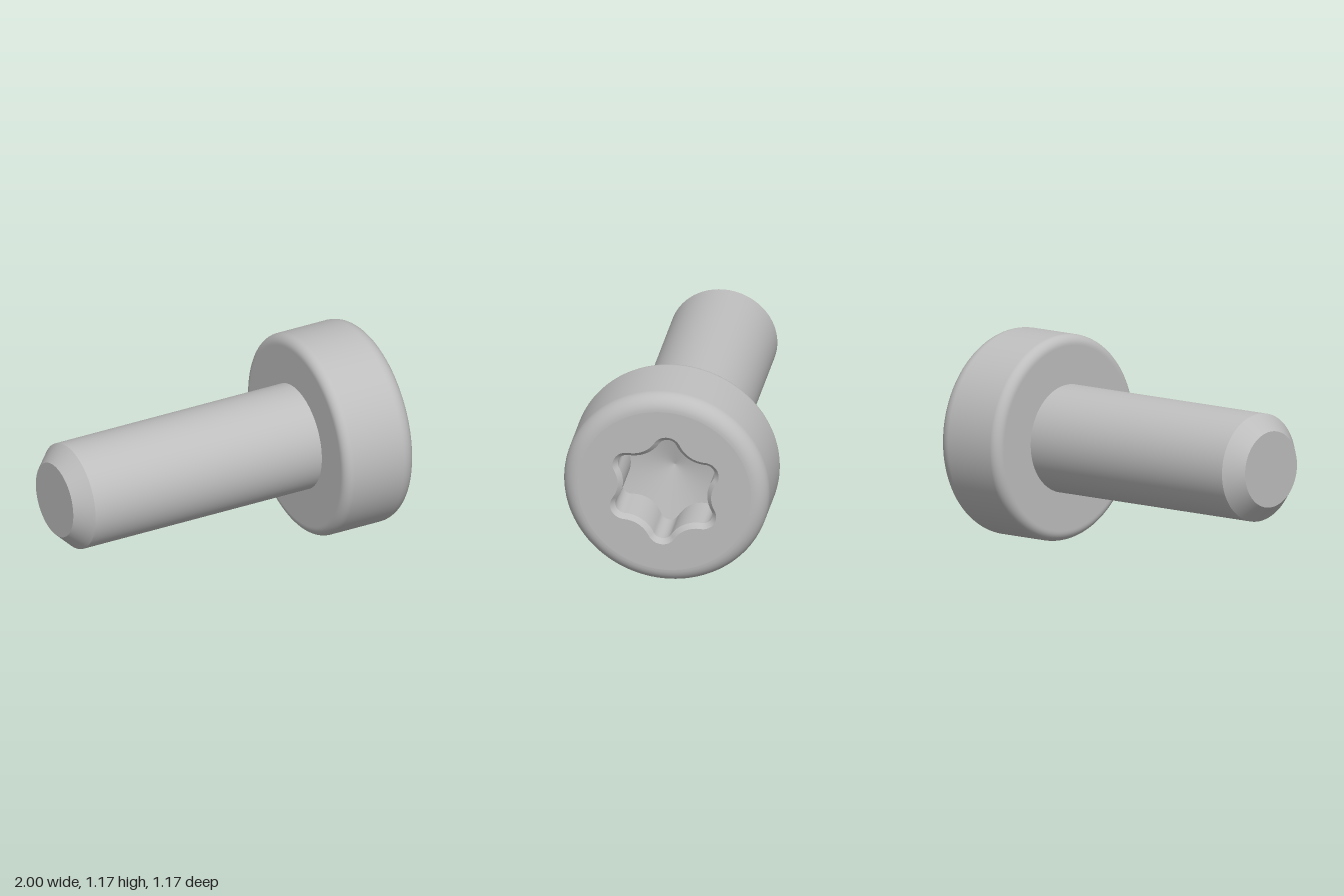
import * as THREE from 'three';

const HEAD_R = 0.583, FACE_FILLET = 0.09, BACK_FILLET = 0.055, BACK = 0.54, FRONT = 1;

// Six-lobed outline made of tangent arcs; offset grows it outwards
function lobedOutline(offset) {
  const lobeR = 0.056, lobeD = 0.31 - lobeR, minR = 0.24, c = Math.cos(Math.PI / 6);
  const valleyR = (lobeD * lobeD + minR * minR - 2 * lobeD * minR * c - lobeR * lobeR)
    / (2 * lobeR - 2 * minR + 2 * lobeD * c);
  const valleyD = minR + valleyR;
  // Direction from lobe centre to valley centre gives the tangent point
  const tangent = Math.atan2(valleyD * 0.5, valleyD * c - lobeD);
  const valleyHalf = tangent - Math.PI / 6;
  const turn = THREE.MathUtils.degToRad(86.8), points = [];
  const arc = (dist, dir, radius, from, to, steps) => {
    for (let i = 0; i < steps; i++) {
      const a = dir + from + (to - from) * i / steps;
      points.push(new THREE.Vector2(
        dist * Math.cos(dir) + radius * Math.cos(a),
        dist * Math.sin(dir) + radius * Math.sin(a)));
    }
  };
  for (let k = 0; k < 6; k++) {
    const dir = turn + k * Math.PI / 3;
    arc(lobeD, dir, lobeR + offset, -tangent, tangent, 16);
    arc(valleyD, dir + Math.PI / 6, valleyR - offset, Math.PI + valleyHalf, Math.PI - valleyHalf, 14);
  }
  return points;
}

// Inward-facing band between two closed loops of 3D points
function band(top, bottom) {
  const n = top.length, index = [];
  for (let i = 0; i < n; i++) {
    const j = (i + 1) % n;
    index.push(i, j, n + i, j, n + j, n + i);
  }
  const geo = new THREE.BufferGeometry().setFromPoints([...top, ...bottom]);
  geo.setIndex(index);
  geo.computeVertexNormals();
  return geo;
}

// Surface of revolution about z from [radius, z] pairs
function turned(profile) {
  const geo = new THREE.LatheGeometry(profile.map(p => new THREE.Vector2(p[0], p[1])), 128);
  return geo.rotateX(Math.PI / 2);
}

export function createModel() {
  const steel = new THREE.MeshStandardMaterial({ color: 0xbebebe });
  steel.name = 'steel';
  const screw = new THREE.Group();
  screw.name = 'screw';
  const add = (name, geo) => {
    const mesh = new THREE.Mesh(geo, steel);
    mesh.name = name;
    screw.add(mesh);
  };

  // Shank with a bevelled tip
  add('tipFace', turned([[0, -1], [0.215, -1]]));
  add('tipBevel', turned([[0.215, -1], [0.305, -0.907]]));
  add('shank', turned([[0.305, -0.907], [0.305, BACK]]));

  // Head side with rounded rims
  const profile = [[0.3, BACK], [HEAD_R - BACK_FILLET - 0.005, BACK]];
  const fillet = (r, z, radius, from) => {
    for (let i = 0; i <= 10; i++) {
      const a = from + i / 10 * Math.PI / 2;
      profile.push([r + radius * Math.cos(a), z + radius * Math.sin(a)]);
    }
  };
  fillet(HEAD_R - BACK_FILLET, BACK + BACK_FILLET, BACK_FILLET, -Math.PI / 2);
  fillet(HEAD_R - FACE_FILLET, FRONT - FACE_FILLET, FACE_FILLET, 0);
  add('headSide', turned(profile));

  // Flat head face with the socket opening
  const rim = lobedOutline(0.026), inner = lobedOutline(0);
  const face = new THREE.Shape().absarc(0, 0, HEAD_R - FACE_FILLET, 0, Math.PI * 2);
  face.holes.push(new THREE.Path(rim.slice().reverse()));
  add('headFace', new THREE.ShapeGeometry(face, 64).translate(0, 0, FRONT));

  // Socket: bevel, walls and conical floor
  const apex = 0.66;
  const loop = (pts, z) => pts.map(p => new THREE.Vector3(p.x, p.y, z(p)));
  const mouth = loop(inner, () => FRONT - 0.026);
  const base = loop(inner, p => apex + 0.26 * p.length());
  add('socketBevel', band(loop(rim, () => FRONT), mouth));
  add('socketWall', band(mouth, base));
  const tip = new THREE.Vector3(0, 0, apex);
  const floor = new THREE.BufferGeometry().setFromPoints(
    base.flatMap((p, i) => [p, base[(i + 1) % base.length], tip]));
  floor.computeVertexNormals();
  add('socketFloor', floor);

  // Lay the screw along x, head towards +x
  screw.rotation.y = Math.PI / 2;
  screw.position.y = HEAD_R;
  const model = new THREE.Group();
  model.name = 'socketScrew';
  model.add(screw);
  return model;
}
